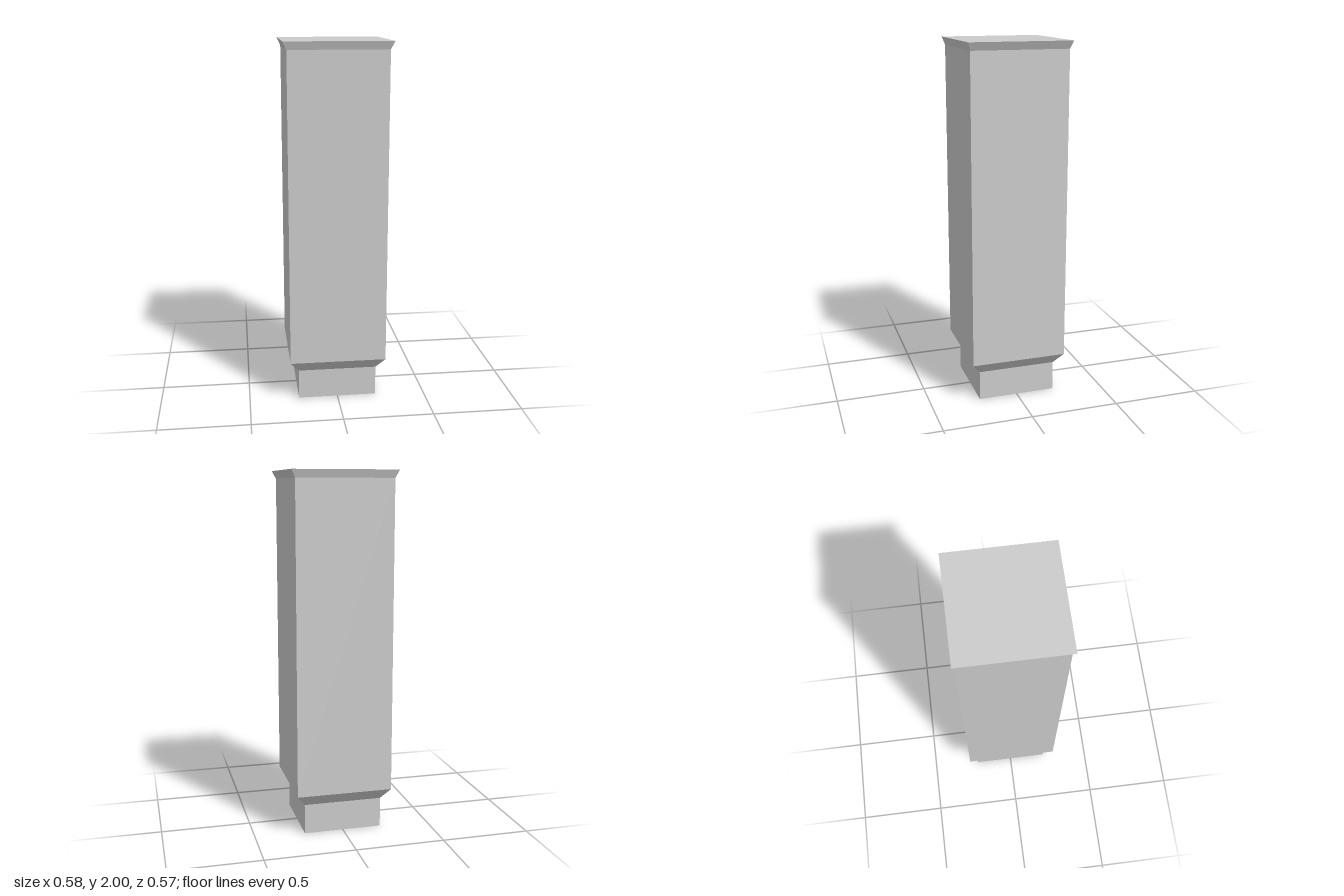
import * as THREE from 'three';

const material = new THREE.MeshStandardMaterial({ color: 0xcccccc });

// Cross-sections from bottom to top: [height, half width in x, half depth in z]
const rings = [
  [0, 0.22, 0.22],
  [0.168, 0.22, 0.22],
  [0.234, 0.269, 0.269],
  [1.957, 0.269, 0.269],
  [2, 0.29, 0.283],
];
const names = ['foot', 'lowerChamfer', 'shaft', 'flaredCap'];

// Four-sided block between two rings, with only the end faces that show
function section([y0, x0, z0], [y1, x1, z1], top, bottom) {
  const geometry = new THREE.BoxGeometry(2, 2, 2);
  const p = geometry.attributes.position;
  for (let i = 0; i < p.count; i++) {
    const up = p.getY(i) > 0;
    p.setXYZ(i, p.getX(i) * (up ? x1 : x0), up ? y1 : y0, p.getZ(i) * (up ? z1 : z0));
  }
  // Box faces come in the order +x, -x, +y, -y, +z, -z, six indices each
  const index = Array.from(geometry.index.array);
  geometry.setIndex(index.filter((_, i) => {
    const face = Math.floor(i / 6);
    return (face !== 2 || top) && (face !== 3 || bottom);
  }));
  geometry.clearGroups();
  geometry.computeVertexNormals();
  return geometry;
}

export function createModel() {
  const group = new THREE.Group();
  group.name = 'pillar';
  names.forEach((name, i) => {
    const geometry = section(rings[i], rings[i + 1], i === names.length - 1, i === 0);
    const mesh = new THREE.Mesh(geometry, material);
    mesh.name = name;
    group.add(mesh);
  });
  return group;
}
